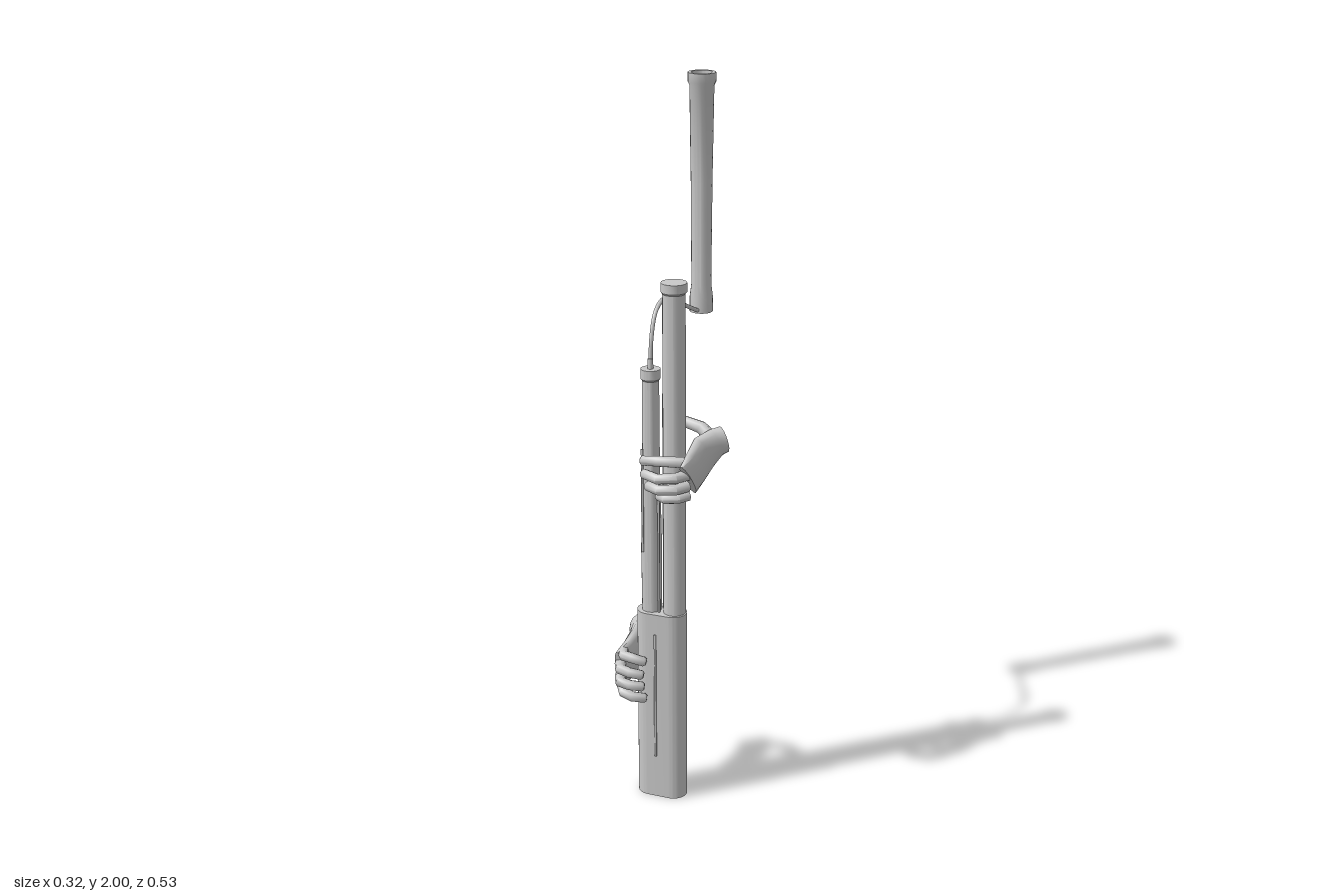
import * as THREE from 'three';
import { toCreasedNormals } from 'three/addons/utils/BufferGeometryUtils.js';

const grey = new THREE.MeshStandardMaterial({ color: 0xc8c8c8 });
grey.name = 'light grey';

function add(parent, name, geometry, x = 0, y = 0, z = 0) {
  const mesh = new THREE.Mesh(geometry, grey);
  mesh.name = name;
  mesh.position.set(x, y, z);
  parent.add(mesh);
  return mesh;
}

// Turned part from [radius, height] pairs
function turned(profile) {
  const points = profile.map(([r, y]) => new THREE.Vector2(r, y));
  return toCreasedNormals(new THREE.LatheGeometry(points, 20), 0.6);
}

// Lofted limb: stations are [x, y, z, half height, half thickness]
function limb(stations, sides = 10) {
  const centres = stations.map(s => new THREE.Vector3(s[0], s[1], s[2]));
  const pos = [], index = [], n = stations.length;
  centres.forEach((c, i) => {
    const t = centres[Math.min(i + 1, n - 1)].clone().sub(centres[Math.max(i - 1, 0)]).normalize();
    const s = t.clone().cross(new THREE.Vector3(0, 1, 0)).normalize();
    const u = s.clone().cross(t);
    for (let j = 0; j < sides; j++) {
      const a = j / sides * Math.PI * 2;
      const p = c.clone().addScaledVector(s, Math.cos(a) * stations[i][4])
        .addScaledVector(u, Math.sin(a) * stations[i][3]);
      pos.push(p.x, p.y, p.z);
    }
  });
  const first = n * sides, last = first + 1;
  for (const c of [centres[0], centres[n - 1]]) pos.push(c.x, c.y, c.z);
  for (let j = 0; j < sides; j++) {
    const k = (j + 1) % sides, e = (n - 1) * sides;
    for (let i = 0; i < n - 1; i++) {
      const a = i * sides + j, b = i * sides + k;
      index.push(a, a + sides, b, b, a + sides, b + sides);
    }
    index.push(first, j, k, last, e + k, e + j);
  }
  const g = new THREE.BufferGeometry();
  g.setAttribute('position', new THREE.Float32BufferAttribute(pos, 3));
  g.setIndex(index);
  return toCreasedNormals(g, 1);
}

// Round finger along [x, y, z] joints, with a blunt tip
function finger(joints, r) {
  const stations = joints.map(([x, y, z], i) => [x, y, z, r * (1 - 0.05 * i), r * (1 - 0.05 * i)]);
  const a = joints[joints.length - 2], b = joints[joints.length - 1];
  const d = new THREE.Vector3(b[0] - a[0], b[1] - a[1], b[2] - a[2]).setLength(0.006);
  stations.push([b[0] + d.x, b[1] + d.y, b[2] + d.z, r * 0.55, r * 0.55]);
  return limb(stations, 8);
}

function hand(name, palm, fingers, thumb) {
  const g = new THREE.Group();
  g.name = name;
  add(g, 'palm', limb(palm, 14));
  for (const joints of fingers) add(g, 'finger', finger(joints, 0.0165));
  add(g, 'thumb', finger(thumb, 0.019));
  return g;
}

export function createModel() {
  const model = new THREE.Group();
  model.name = 'woodwind with hands';

  // Boot joint: stadium outline extruded upward
  const outline = new THREE.Shape();
  outline.absarc(0.018, 0, 0.039, -Math.PI / 2, Math.PI / 2, false);
  outline.absarc(-0.047, 0, 0.039, Math.PI / 2, Math.PI * 1.5, false);
  const boot = new THREE.ExtrudeGeometry(outline, { depth: 0.57, bevelEnabled: false, curveSegments: 12 });
  boot.rotateX(-Math.PI / 2);
  add(model, 'bootJoint', toCreasedNormals(boot, 0.6), 0, 0, 0.147);

  // Long and short joints
  add(model, 'longJoint', turned([[0, 0.55], [0.031, 0.55], [0.031, 1.485], [0.035, 1.49],
    [0.035, 1.515], [0, 1.515]]), 0.022, 0, 0.145);
  add(model, 'shortJoint', turned([[0, 0.55], [0.027, 0.55], [0.029, 0.75], [0.024, 1.0], [0.023, 1.24],
    [0.027, 1.245], [0.027, 1.272], [0.008, 1.272], [0.007, 1.3], [0, 1.3]]), -0.045, 0, 0.147);

  // Detached bell joint with an open bore
  add(model, 'bellJoint', turned([[0, 1.33], [0.033, 1.33], [0.033, 1.37], [0.028, 1.41], [0.03, 1.7],
    [0.034, 1.965], [0.039, 1.975], [0.039, 2], [0.029, 2], [0.027, 1.96], [0, 1.96]]), -0.045, 0, -0.23);

  // Curved mouth pipe
  const path = new THREE.CatmullRomCurve3([[1.27, 0.145], [1.35, 0.14], [1.415, 0.112], [1.438, 0.065],
    [1.43, 0.01], [1.39, -0.08], [1.345, -0.185], [1.337, -0.205]]
    .map(([y, z]) => new THREE.Vector3(-0.045, y, z)));
  add(model, 'mouthPipe', new THREE.TubeGeometry(path, 40, 0.006, 8));

  // Key rods: x, z, bottom, top
  const rods = [[-0.02, 0.188, 0.13, 0.51], [-0.03, 0.106, 0.13, 0.53], [0, 0.106, 0.13, 0.55],
    [0.02, 0.112, 0.76, 1.42], [-0.045, 0.121, 0.78, 1.22], [-0.015, 0.13, 0.57, 1.2],
    [-0.017, 0.164, 0.57, 0.95], [-0.06, 0.174, 0.75, 1.05]];
  for (const [x, z, low, high] of rods) {
    add(model, 'keyRod', new THREE.CylinderGeometry(0.0035, 0.0035, high - low, 6), x, (low + high) / 2, z);
  }

  // Upper hand, reaching round from the left
  model.add(hand('upperHand',
    [[0.139, 1.072, 0.076, 0.038, 0.03], [0.122, 1.066, 0.092, 0.042, 0.028], [0.1, 1.045, 0.125, 0.058, 0.025],
      [0.091, 1.015, 0.165, 0.062, 0.02], [0.083, 0.99, 0.2, 0.058, 0.015]],
    [[[0.085, 1.035, 0.185], [0.055, 1.04, 0.208], [0, 1.035, 0.208], [-0.045, 1.03, 0.205]],
      [[0.08, 1.005, 0.2], [0.062, 1.005, 0.236], [0.015, 1.0, 0.247], [-0.035, 1.0, 0.222]],
      [[0.08, 0.972, 0.2], [0.062, 0.972, 0.235], [0.018, 0.968, 0.245], [-0.025, 0.965, 0.218]],
      [[0.08, 0.945, 0.195], [0.065, 0.943, 0.218], [0.03, 0.938, 0.225], [0.002, 0.935, 0.205]]],
    [[0.115, 1.075, 0.095], [0.075, 1.1, 0.083], [0.03, 1.11, 0.082], [-0.015, 1.085, 0.083]]));

  // Lower hand, reaching round from the right
  model.add(hand('lowerHand',
    [[-0.136, 0.435, 0.026, 0.048, 0.028], [-0.125, 0.435, 0.05, 0.05, 0.026], [-0.113, 0.425, 0.09, 0.062, 0.025],
      [-0.113, 0.405, 0.145, 0.066, 0.021], [-0.122, 0.39, 0.195, 0.062, 0.015]],
    [[[-0.118, 0.44, 0.185], [-0.105, 0.442, 0.21], [-0.08, 0.44, 0.213], [-0.045, 0.432, 0.207]],
      [[-0.122, 0.408, 0.195], [-0.107, 0.41, 0.232], [-0.08, 0.405, 0.234], [-0.045, 0.4, 0.227]],
      [[-0.122, 0.372, 0.195], [-0.107, 0.37, 0.232], [-0.08, 0.365, 0.232], [-0.045, 0.362, 0.222]],
      [[-0.12, 0.338, 0.188], [-0.105, 0.33, 0.214], [-0.08, 0.322, 0.216], [-0.045, 0.318, 0.205]]],
    [[-0.118, 0.455, 0.065], [-0.092, 0.497, 0.062], [-0.055, 0.5, 0.068], [-0.02, 0.475, 0.088]]));

  return model;
}
